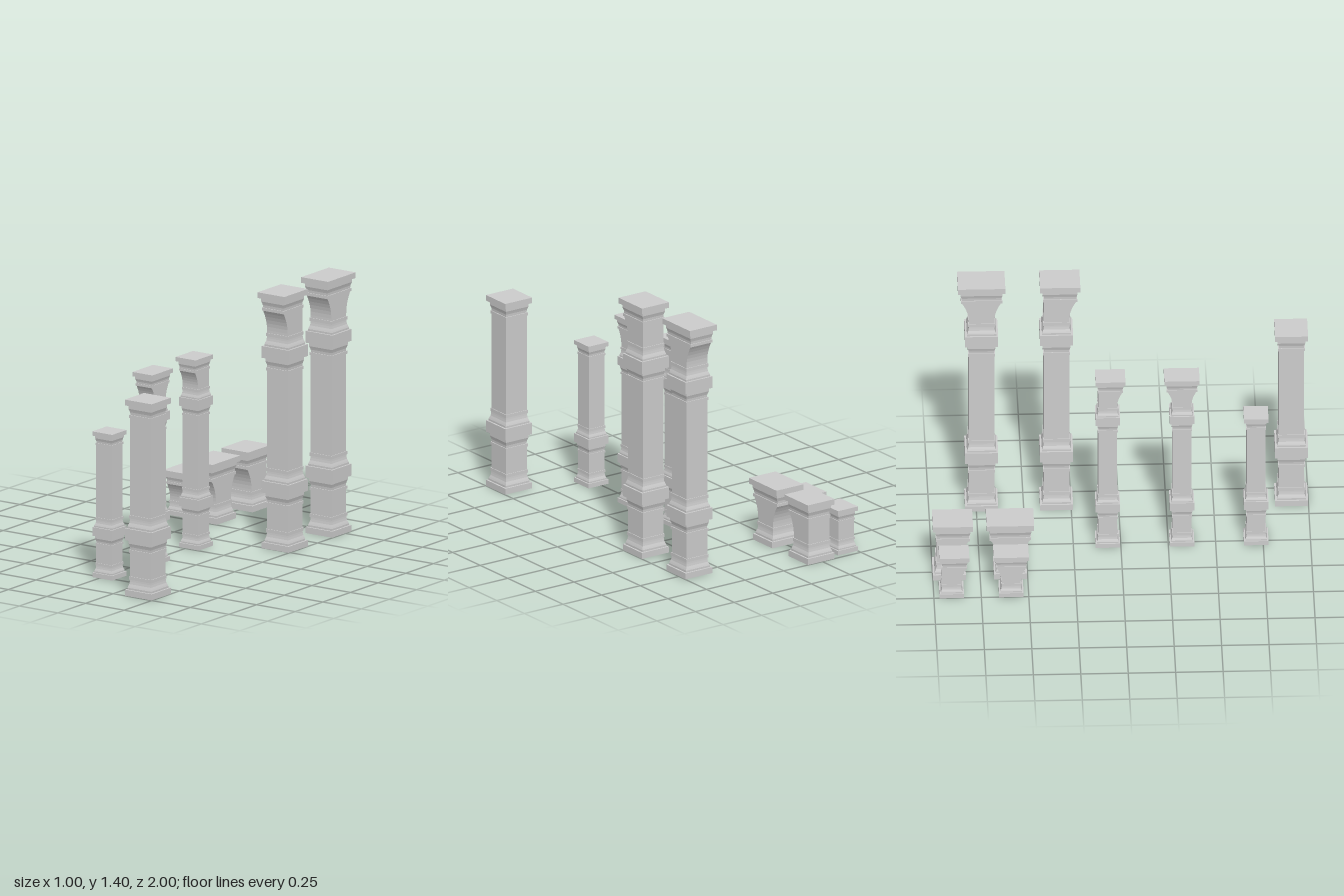
import * as THREE from 'three';

const material = new THREE.MeshStandardMaterial({ color: 0xcccccc, flatShading: true });
const MODULE = 0.333, SHAFT = 0.733, FLARE = 0.038;

// Closed loft through rectangles; row = [y, half width, flare amount 0..1]
function loft(name, rows, front = 0, back = 0) {
  const pos = [], index = [];
  for (const [y, h, f = 0] of rows) {
    const zf = h + front * f, zb = -h - back * f;
    pos.push(-h, y, zf, h, y, zf, h, y, zb, -h, y, zb);
  }
  for (let r = 0; r < rows.length - 1; r++) {
    for (let i = 0; i < 4; i++) {
      const a = r * 4 + i, b = r * 4 + (i + 1) % 4;
      index.push(a, b, b + 4, a, b + 4, a + 4);
    }
  }
  const t = (rows.length - 1) * 4;
  index.push(0, 2, 1, 0, 3, 2, t, t + 1, t + 2, t, t + 2, t + 3);
  const indexed = new THREE.BufferGeometry();
  indexed.setAttribute('position', new THREE.Float32BufferAttribute(pos, 3));
  indexed.setIndex(index);
  const geometry = indexed.toNonIndexed();
  geometry.computeVertexNormals();
  const mesh = new THREE.Mesh(geometry, material);
  mesh.name = name;
  return mesh;
}

// One section: plinth, foot moulding, ring, shaft, ring, neck moulding, cap
function section(name, height, front = 0, back = 0) {
  const g = new THREE.Group();
  g.name = name;
  const H = height;
  // Shaft, curving outward to the flared sides near its top
  const shaft = [[0.085, 0.067, 0]];
  const steps = 6, y0 = H - 0.215, y1 = H - 0.098;
  if (front || back) {
    for (let i = 0; i <= steps; i++) {
      const t = i / steps;
      shaft.push([y0 + (y1 - y0) * t, 0.067, t * t]);
    }
  } else shaft.push([y1, 0.067, 0]);
  g.add(
    loft('plinth', [[0, 0.087], [0.033, 0.087]]),
    loft('footMoulding', [[0.033, 0.077], [0.043, 0.077], [0.052, 0.074], [0.062, 0.07], [0.075, 0.068], [0.087, 0.067]]),
    loft('lowerRing', [[0.086, 0.071], [0.104, 0.071]]),
    loft('shaft', shaft, front, back),
    loft('upperRing', [[H - 0.1, 0.071, 1], [H - 0.084, 0.071, 1]], front, back),
    loft('neckMoulding', [[H - 0.084, 0.066, 1], [H - 0.07, 0.067, 1], [H - 0.06, 0.07, 1], [H - 0.051, 0.073, 1], [H - 0.031, 0.073, 1]], front, back),
    loft('cap', [[H - 0.031, 0.087, 1], [H, 0.087, 1]], front, back),
  );
  return g;
}

// Stacks sections: optional base with long shaft, optional flared capital
function column(name, { x, z, scale, tall, capital, front = 0, back = 0 }) {
  const g = new THREE.Group();
  g.name = name;
  let y = 0;
  const stack = (part, height) => {
    part.position.y = y;
    y += height;
    g.add(part);
  };
  if (tall) {
    stack(section('pedestal', MODULE), MODULE);
    stack(section('longShaft', SHAFT), SHAFT);
  }
  if (capital) stack(section('capital', MODULE, front * FLARE, back * FLARE), MODULE);
  g.position.set(x, 0, z);
  g.scale.setScalar(scale);
  return g;
}

export function createModel() {
  const model = new THREE.Group();
  model.name = 'columnSet';
  const L = 1, S = 0.743;
  const plain = { tall: true };
  const single = { tall: true, capital: true, front: 1 };
  const double = { tall: true, capital: true, front: 1, back: 1 };
  const shortSingle = { capital: true, front: 1 };
  const shortDouble = { capital: true, front: 1, back: 1 };
  const layout = [
    ['largePlainColumn', 0.411, 0.911, L, plain],
    ['largeSingleFlareColumn', 0.411, -0.327, L, single],
    ['largeDoubleFlareColumn', 0.411, -0.722, L, double],
    ['smallPlainColumn', 0.02, 0.713, S, plain],
    ['smallDoubleFlareColumn', 0.02, 0.322, S, double],
    ['smallSingleFlareColumn', 0.02, -0.069, S, single],
    ['largeDoubleFlareCapital', -0.243, -0.591, L, shortDouble],
    ['largeSingleFlareCapital', -0.243, -0.913, L, shortSingle],
    ['smallDoubleFlareCapital', -0.437, -0.592, S, shortDouble],
    ['smallSingleFlareCapital', -0.437, -0.906, S, shortSingle],
  ];
  for (const [name, x, z, scale, kind] of layout) {
    model.add(column(name, { x, z, scale, ...kind }));
  }
  return model;
}
